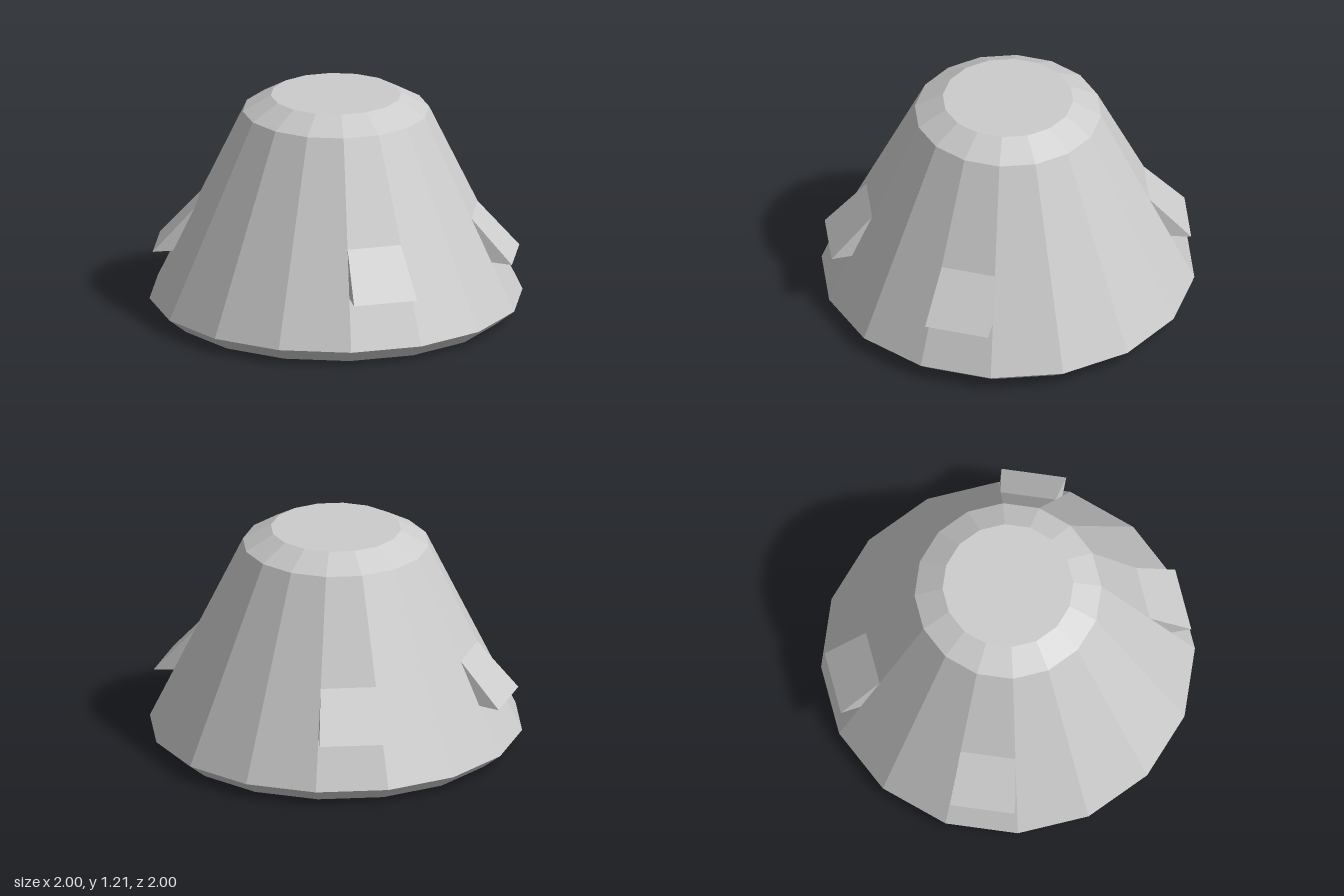
import * as THREE from 'three';

const SIDES = 16;

// Triangular wedge lying on one wall facet: x is outward, z runs along the facet
function wedgeGeometry() {
  const profile = new THREE.Shape([
    new THREE.Vector2(0.745, 0.58),
    new THREE.Vector2(0.855, 0.345),
    new THREE.Vector2(0.966, 0.335),
  ]);
  const geometry = new THREE.ExtrudeGeometry(profile, { depth: 2, bevelEnabled: false });
  geometry.translate(0, 0, -1);

  // Taper the width with the facet it sits on
  const p = geometry.attributes.position;
  for (let i = 0; i < p.count; i++) {
    p.setZ(i, p.getZ(i) * Math.min(0.199 * p.getX(i), 0.175));
  }
  geometry.computeVertexNormals();
  return geometry;
}

export function createModel() {
  const model = new THREE.Group();
  model.name = 'facetedCone';
  const grey = new THREE.MeshStandardMaterial({ color: 0xcccccc, flatShading: true });

  // Truncated cone with chamfered base and top
  const profile = [[0, 0], [0.9, 0], [1, 0.08], [0.5, 1.12], [0.35, 1.205], [0, 1.205]]
    .map(([r, y]) => new THREE.Vector2(r, y));
  const body = new THREE.Mesh(new THREE.LatheGeometry(profile, SIDES), grey);
  body.name = 'body';
  model.add(body);

  // Four wedges, mirrored left/right and front/back
  const geometry = wedgeGeometry();
  const angle = (Math.PI * 2 / SIDES) * 1.5;
  const places = {
    frontLeftWedge: -angle,
    backLeftWedge: angle,
    frontRightWedge: Math.PI + angle,
    backRightWedge: Math.PI - angle,
  };
  for (const [name, turn] of Object.entries(places)) {
    const wedge = new THREE.Mesh(geometry, grey);
    wedge.name = name;
    wedge.rotation.y = turn;
    model.add(wedge);
  }
  return model;
}
